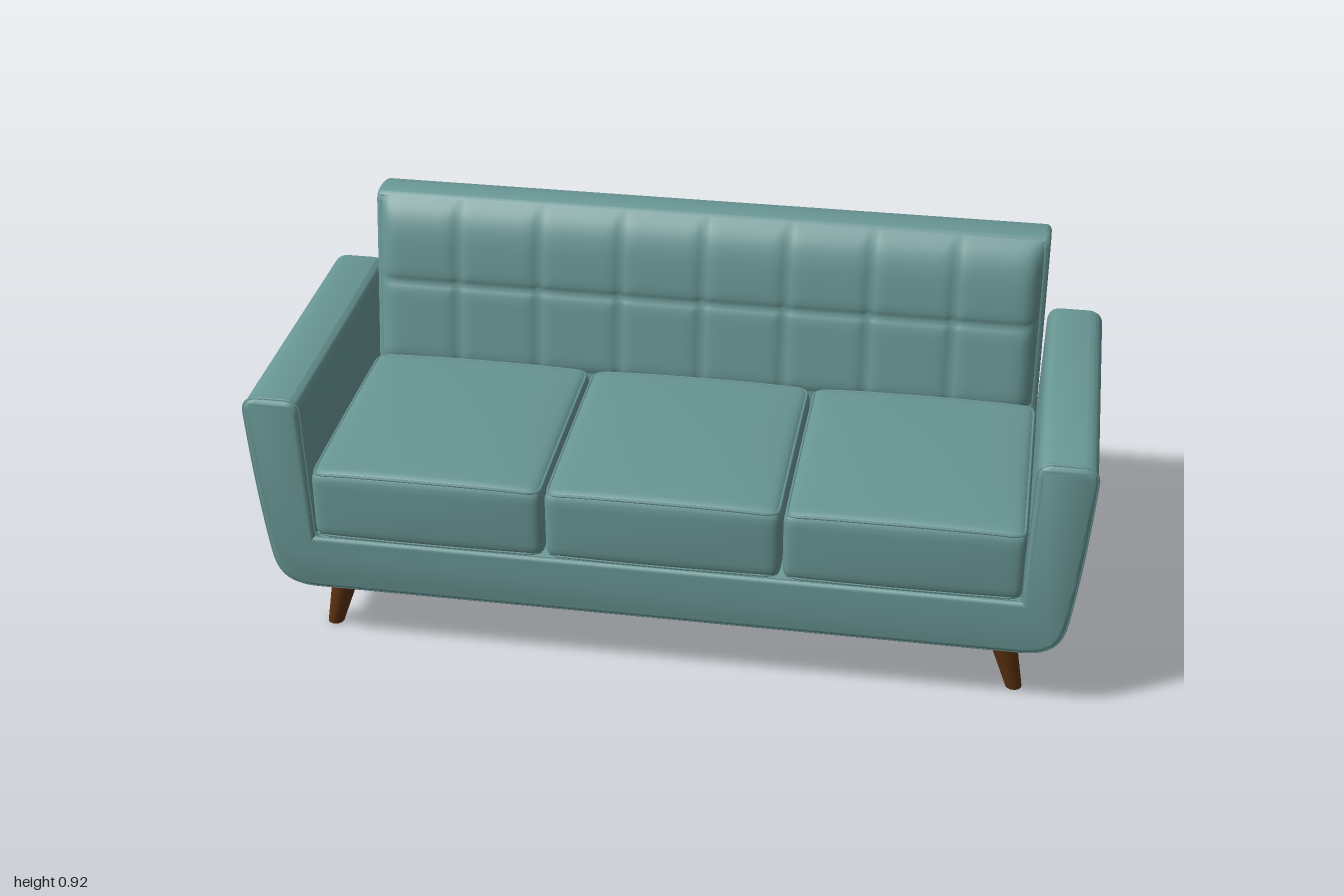
import * as THREE from 'three';
import { mergeVertices, toCreasedNormals } from 'three/addons/utils/BufferGeometryUtils.js';

const fabric = new THREE.MeshStandardMaterial({ color: 0x689694 });
fabric.name = 'tealFabric';
const wood = new THREE.MeshStandardMaterial({ color: 0x5c3110 });
wood.name = 'walnut';

function add(parent, name, geometry, material) {
  const mesh = new THREE.Mesh(geometry, material);
  mesh.name = name;
  parent.add(mesh);
  return mesh;
}

// Moves every vertex of a geometry by a rule
function reshape(geometry, rule) {
  const pos = geometry.attributes.position;
  const p = new THREE.Vector3();
  for (let i = 0; i < pos.count; i++) {
    p.fromBufferAttribute(pos, i);
    rule(p);
    pos.setXYZ(i, p.x, p.y, p.z);
  }
  return geometry;
}

function smooth(geometry) {
  geometry.deleteAttribute('normal');
  geometry.deleteAttribute('uv');
  const merged = mergeVertices(geometry, 1e-5);
  merged.computeVertexNormals();
  return merged;
}

// Extrusion with a soft bevel kept inside the outline, centred on its depth
function padded(shape, depth, bevel) {
  const g = new THREE.ExtrudeGeometry(shape, {
    depth: depth - 2 * bevel, bevelThickness: bevel, bevelSize: bevel,
    bevelOffset: -bevel, bevelSegments: 4, curveSegments: 10,
  });
  return g.translate(0, 0, bevel - depth / 2);
}

function piping(points, radius) {
  const curve = new THREE.CatmullRomCurve3(points, true);
  return new THREE.TubeGeometry(curve, points.length * 2, radius, 6, true);
}

// U-shaped front outline: both arms and the base
function bodyShape() {
  const s = new THREE.Shape();
  s.moveTo(-0.85, 0.17);
  s.lineTo(0.85, 0.17);
  s.bezierCurveTo(0.93, 0.17, 0.953, 0.2, 0.962, 0.27);
  s.quadraticCurveTo(0.985, 0.43, 0.997, 0.655);
  s.quadraticCurveTo(0.997, 0.685, 0.965, 0.69);
  s.lineTo(0.89, 0.69);
  s.quadraticCurveTo(0.862, 0.688, 0.86, 0.66);
  s.lineTo(0.85, 0.315);
  s.lineTo(-0.85, 0.315);
  s.lineTo(-0.86, 0.66);
  s.quadraticCurveTo(-0.862, 0.688, -0.89, 0.69);
  s.lineTo(-0.965, 0.69);
  s.quadraticCurveTo(-0.997, 0.685, -0.997, 0.655);
  s.quadraticCurveTo(-0.985, 0.43, -0.962, 0.27);
  s.bezierCurveTo(-0.953, 0.2, -0.93, 0.17, -0.85, 0.17);
  return s;
}

// Side outline of the leaning back, with x standing for z
function backShape() {
  const s = new THREE.Shape();
  s.moveTo(-0.336, 0.173);
  s.lineTo(-0.2, 0.173);
  s.lineTo(-0.215, 0.42);
  s.lineTo(-0.265, 0.69);
  s.lineTo(-0.299, 0.885);
  s.quadraticCurveTo(-0.303, 0.907, -0.32, 0.912);
  s.quadraticCurveTo(-0.36, 0.922, -0.398, 0.907);
  s.quadraticCurveTo(-0.411, 0.902, -0.41, 0.885);
  s.closePath();
  return s;
}

// Crown on the top and a slight swell at the front of a seat cushion
function swell(p, half) {
  const u = 1 - (p.x / half.x) ** 2;
  const v = 1 - (p.y / half.y) ** 2;
  const w = 1 - (p.z / half.z) ** 2;
  if (p.y > 0) p.y += 0.022 * Math.sqrt(Math.max(u, 0)) * (0.45 + 0.55 * w) * p.y / half.y;
  if (p.z > 0) p.z += 0.008 * Math.max(u, 0) * (0.5 + 0.5 * v) * p.z / half.z;
}

function seatCushion(width) {
  const half = new THREE.Vector3(width / 2, 0.09, 0.302);
  const r = 0.025;
  const group = new THREE.Group();
  group.name = 'seatCushion';
  const inner = half.clone().subScalar(r);
  const q = new THREE.Vector3();
  const g = reshape(new THREE.BoxGeometry(2, 2, 2, 24, 14, 24), (p) => {
    for (const a of ['x', 'y', 'z']) p[a] = Math.sin(p[a] * Math.PI / 2) * half[a];
    q.copy(p).clamp(inner.clone().negate(), inner);
    p.sub(q).setLength(r).add(q);
    swell(p, half);
  });
  add(group, 'cushionPad', smooth(g), fabric);

  // Piping around the top and bottom edges
  const inset = r * 0.28;
  const x = half.x - inset, z = half.z - inset, c = 0.025;
  const loop = new THREE.Shape();
  loop.moveTo(-x + c, -z).lineTo(x - c, -z).quadraticCurveTo(x, -z, x, -z + c);
  loop.lineTo(x, z - c).quadraticCurveTo(x, z, x - c, z);
  loop.lineTo(-x + c, z).quadraticCurveTo(-x, z, -x, z - c);
  loop.lineTo(-x, -z + c).quadraticCurveTo(-x, -z, -x + c, -z);
  for (const side of [-1, 1]) {
    const pts = loop.getSpacedPoints(90).slice(0, -1).map((p) => {
      const v = new THREE.Vector3(p.x, side * (half.y - inset), p.y);
      swell(v, half);
      return v;
    });
    add(group, 'cushionPiping', piping(pts, 0.004), fabric);
  }
  return group;
}

// Button-tufted front of the back: 8 by 2 soft squares
function tuftedPanel() {
  const cols = 8, rows = 2, w = 1.68, low = 0.49, high = 0.905;
  const seam = (t) => Math.abs(2 * (t - Math.floor(t)) - 1) ** 8;
  const g = new THREE.PlaneGeometry(2, 2, cols * 16, rows * 20);
  reshape(g, (p) => {
    const u = p.x, v = p.y;
    const cx = (u + 1) / 2 * cols, cy = (v + 1) / 2 * rows;
    const y = low + (high - low) * (v + 1) / 2;
    const edge = (1 - Math.abs(u) ** 60) * (v > 0 ? 1 - v ** 5 : 1);
    const dent = Math.max(seam(cx), seam(cy)) * 0.009 + seam(cx) * seam(cy) * 0.006;
    p.set(u * w / 2, y, -0.267 + (0.69 - y) * 0.178 + 0.04 * edge - dent * edge);
  });
  return smooth(g);
}

export function createModel() {
  const sofa = new THREE.Group();
  sofa.name = 'sofa';

  // Arms and base in one shell, its rear leaning back
  const shape = bodyShape();
  const body = padded(shape, 0.73, 0.013).translate(0, 0, 0.032);
  reshape(body, (p) => { if (p.z < 0) p.z -= (p.y - 0.17) * 0.09; });
  add(sofa, 'armsAndBase', toCreasedNormals(body, 0.6), fabric);
  const rim = shape.getSpacedPoints(260).slice(0, -1).map((p) => new THREE.Vector3(p.x, p.y, 0.386));
  add(sofa, 'frontPiping', piping(rim, 0.0035), fabric);

  // Back
  const back = padded(backShape(), 1.704, 0.014).rotateY(-Math.PI / 2);
  add(sofa, 'backFrame', toCreasedNormals(back, 0.6), fabric);
  add(sofa, 'tuftedBack', tuftedPanel(), fabric);

  // Three seat cushions
  for (const i of [-1, 0, 1]) {
    const cushion = seatCushion(0.564);
    cushion.position.set(i * 0.568 + 0.003, 0.41, 0.1);
    sofa.add(cushion);
  }

  // Tapered legs splayed to the sides
  for (const side of [-1, 1]) {
    for (const z of [0.292, -0.27]) {
      const g = new THREE.CylinderGeometry(0.038, 0.02, 0.18, 24).translate(0, 0.09, 0);
      reshape(g, (p) => { p.x += side * (0.85 - p.y * 0.26); });
      g.computeVertexNormals();
      add(sofa, z > 0 ? 'frontLeg' : 'rearLeg', g, wood).position.z = z;
    }
  }
  return sofa;
}
